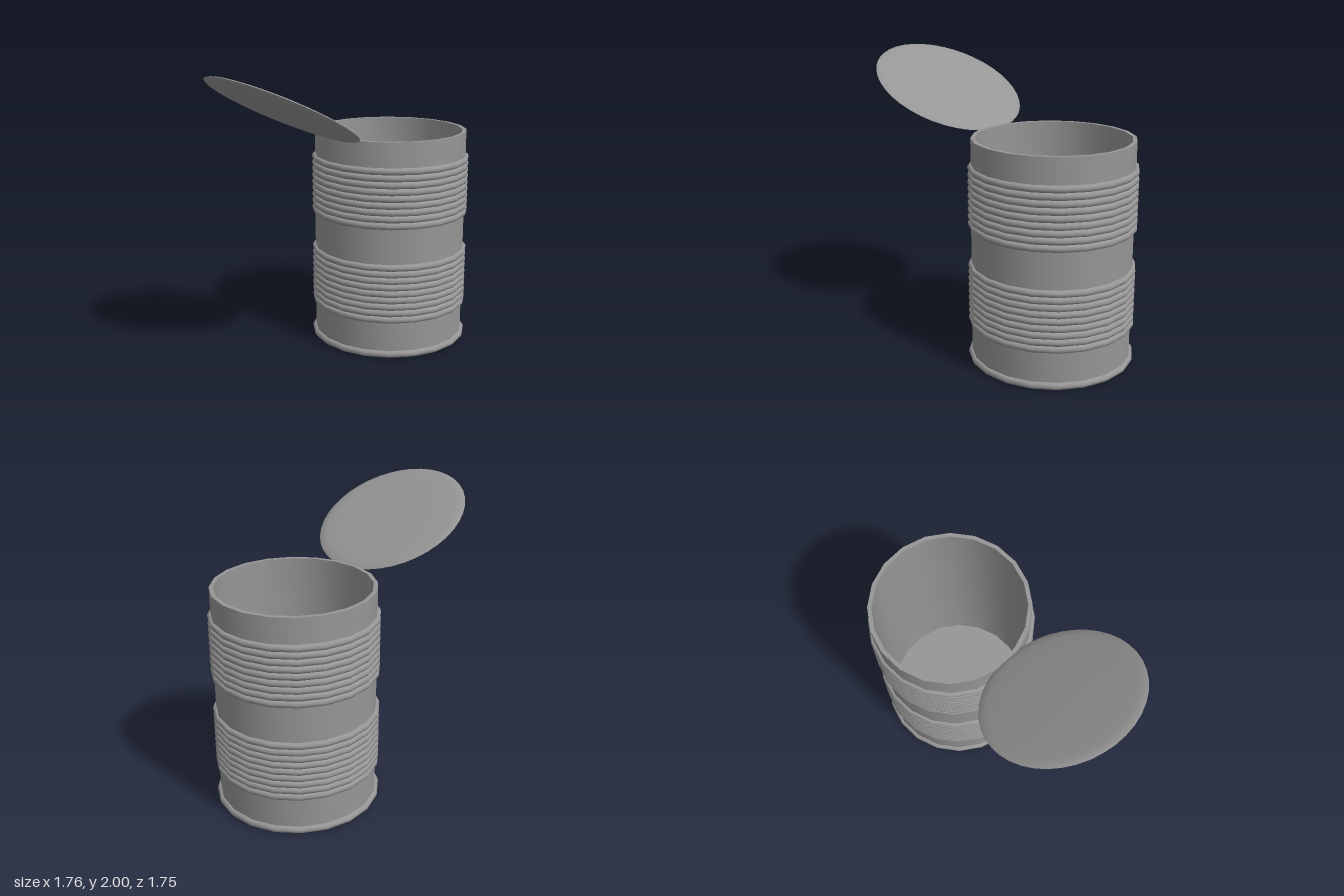
import * as THREE from 'three';
import { toCreasedNormals } from 'three/addons/utils/BufferGeometryUtils.js';

const SIDES = 20;
const tin = new THREE.MeshStandardMaterial({ color: 0x969696 });

function lathe(points, segments, crease) {
  const profile = points.map(([r, y]) => new THREE.Vector2(r, y));
  return toCreasedNormals(new THREE.LatheGeometry(profile, segments), crease);
}

function addMesh(parent, name, geometry) {
  const mesh = new THREE.Mesh(geometry, tin);
  mesh.name = name;
  parent.add(mesh);
  return mesh;
}

// Stack of rounded ribs as one turned profile, closed against the wall
function ribBand(count, pitch) {
  const steps = 6;
  const points = [[0.535, 0]];
  for (let i = 0; i < count; i++) {
    for (let j = i ? 1 : 0; j <= steps; j++) {
      const a = (j / steps) * Math.PI;
      points.push([0.543 + 0.019 * Math.sin(a), pitch * (i + 0.5 - 0.5 * Math.cos(a))]);
    }
  }
  points.push([0.535, count * pitch]);
  return lathe(points, SIDES, 0.9);
}

export function createModel() {
  const model = new THREE.Group();
  model.name = 'openTinCan';

  const can = new THREE.Group();
  can.name = 'can';
  can.position.set(0.32, 0, -0.317);
  model.add(can);

  // Hollow body: floor, outer wall, rim and inner wall
  addMesh(can, 'body', lathe([
    [0, 0.01], [0.54, 0.01], [0.54, 1.525], [0.512, 1.525], [0.512, 0.035], [0, 0.035],
  ], SIDES, 0.6));

  // Rolled seam at the foot
  const seam = new THREE.TorusGeometry(0.539, 0.025, 10, SIDES).rotateX(Math.PI / 2);
  addMesh(can, 'bottomSeam', seam).position.y = 0.027;

  // Two bands of nine stacked ribs
  addMesh(can, 'lowerRibs', ribBand(9, 0.047)).position.y = 0.257;
  addMesh(can, 'upperRibs', ribBand(9, 0.047)).position.y = 0.928;

  // Thin lid with a soft tapered edge, bent back at the rim
  const lid = addMesh(model, 'lid', lathe([
    [0, -0.018], [0.38, -0.017], [0.47, -0.013], [0.515, -0.008], [0.53, 0],
    [0.515, 0.008], [0.47, 0.013], [0.38, 0.017], [0, 0.018],
  ], 40, 1.2));
  lid.position.set(-0.385, 1.753, 0.367);
  lid.quaternion.setFromUnitVectors(
    new THREE.Vector3(0, 1, 0),
    new THREE.Vector3(0.35, 0.885, -0.305).normalize(),
  );

  return model;
}
